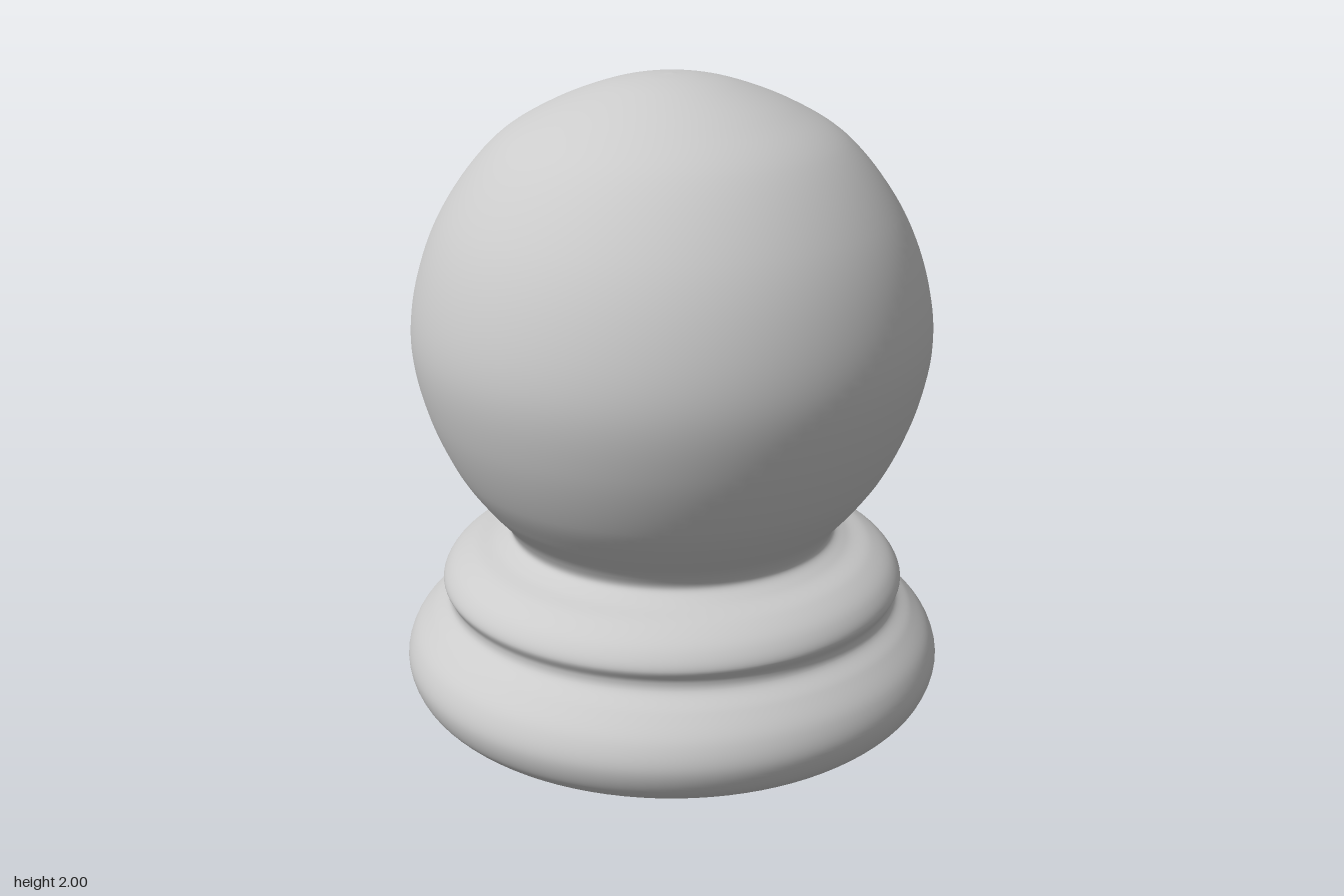
import * as THREE from 'three';

const SEGMENTS = 96;

// Smooth turned surface through a few [radius, height] points, bottom to top
function turned(name, points, steps, material) {
  const curve = new THREE.CatmullRomCurve3(
    points.map(([r, y]) => new THREE.Vector3(r, y, 0)), false, 'centripetal');
  const profile = curve.getPoints(steps).map(p => new THREE.Vector2(Math.max(p.x, 0), p.y));
  const mesh = new THREE.Mesh(new THREE.LatheGeometry(profile, SEGMENTS), material);
  mesh.name = name;
  return mesh;
}

export function createModel() {
  const group = new THREE.Group();
  group.name = 'ballFinial';
  const material = new THREE.MeshStandardMaterial({ color: 0xcccccc });

  // Moulded foot, collar, neck and ball as one continuous turning
  group.add(turned('turnedBody', [
    [0.755, 0], [0.79, 0.018], [0.835, 0.065], [0.857, 0.14], [0.835, 0.215],
    [0.775, 0.285], [0.722, 0.33], [0.718, 0.358], [0.735, 0.40], [0.708, 0.452],
    [0.64, 0.5], [0.56, 0.528], [0.518, 0.558], [0.532, 0.6], [0.61, 0.695],
    [0.685, 0.805], [0.767, 1.0], [0.803, 1.2], [0.775, 1.4], [0.693, 1.6],
    [0.537, 1.8], [0.38, 1.9], [0.2, 1.97], [0.09, 1.993], [0, 2],
  ], 192, material));

  // Flat underside
  const base = new THREE.Mesh(new THREE.CircleGeometry(0.755, SEGMENTS), material);
  base.name = 'underside';
  base.rotation.x = Math.PI / 2;
  group.add(base);

  return group;
}
